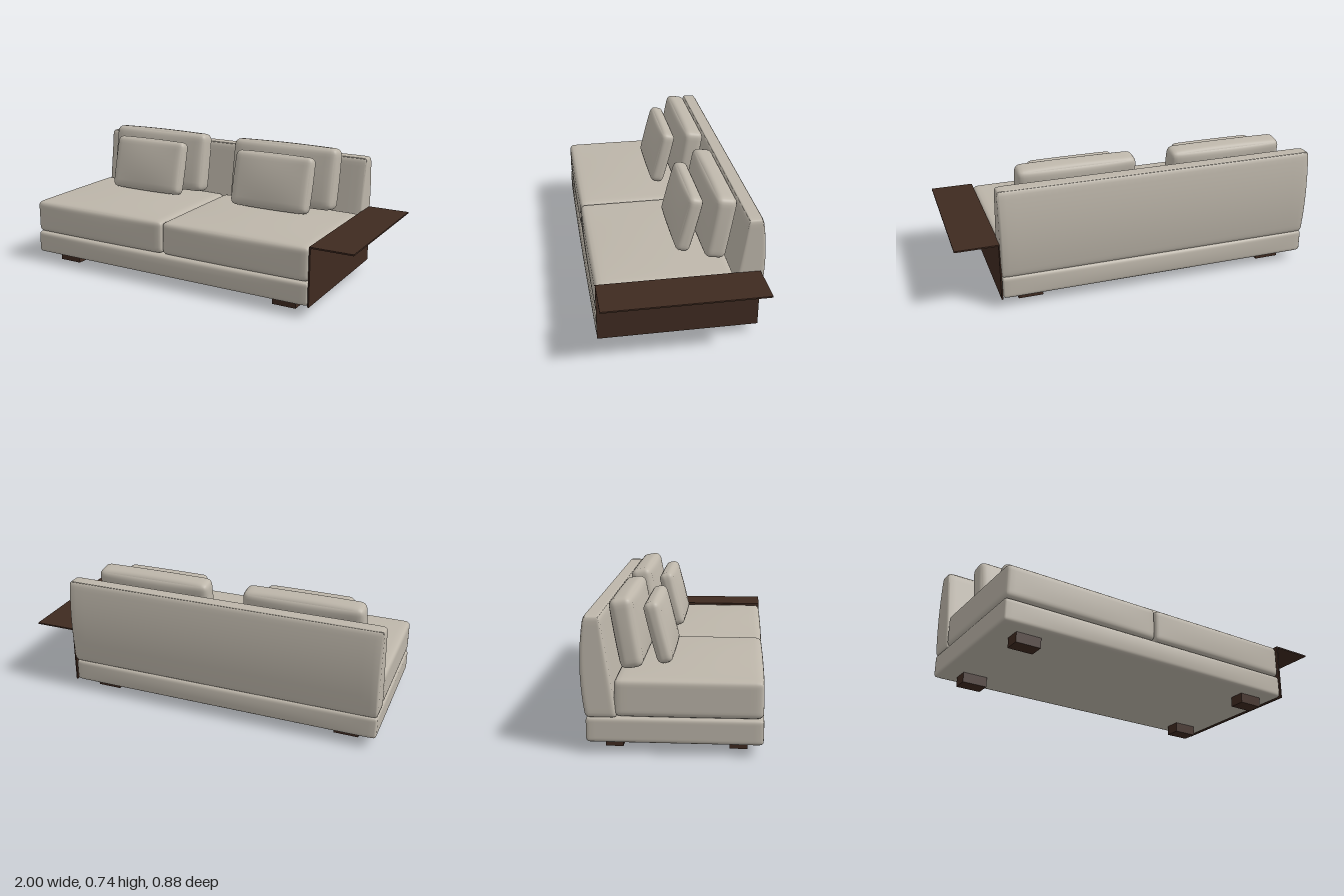
import * as THREE from 'three';
import { mergeVertices } from 'three/addons/utils/BufferGeometryUtils.js';

const mat = (name, color) => {
  const m = new THREE.MeshStandardMaterial({ color });
  m.name = name;
  return m;
};

// Soft upholstered block: rounded edges, bulging faces, optional reshaping rule
function softBlock(size, r, bulge, reshape) {
  const n = 20;
  let g = new THREE.BoxGeometry(2, 2, 2, n, n, n);
  g.deleteAttribute('uv');
  g.deleteAttribute('normal');
  g = mergeVertices(g, 1e-4);
  const half = new THREE.Vector3(...size).multiplyScalar(0.5);
  const core = half.clone().subScalar(r);
  const pos = g.attributes.position;
  const u = new THREE.Vector3(), p = new THREE.Vector3(), inner = new THREE.Vector3();
  for (let i = 0; i < pos.count; i++) {
    u.fromBufferAttribute(pos, i);
    // Crowd the grid lines toward the edges
    u.set(...u.toArray().map(c => Math.sin(c * Math.PI / 2)));
    p.copy(u).multiply(half);
    inner.copy(p).clamp(core.clone().negate(), core);
    p.sub(inner).normalize().multiplyScalar(r).add(inner);
    const fx = 1 - u.x * u.x, fy = 1 - u.y * u.y, fz = 1 - u.z * u.z;
    p.x += bulge[0] * u.x * fy * fz;
    p.y += bulge[1] * u.y * fx * fz;
    p.z += bulge[2] * u.z * fx * fy;
    if (reshape) reshape(p, u);
    pos.setXYZ(i, p.x, p.y, p.z);
  }
  g.computeVertexNormals();
  return g;
}

export function createModel() {
  const model = new THREE.Group();
  model.name = 'sofa';
  const fabric = mat('greige fabric', 0xbdb6aa);
  const wood = mat('dark brown wood', 0x3f2a20);

  const add = (name, geometry, material, x, y, z, tilt = 0) => {
    const m = new THREE.Mesh(geometry, material);
    m.name = name;
    m.position.set(x, y, z);
    m.rotation.x = tilt;
    model.add(m);
  };

  // Upholstered base
  add('base', softBlock([1.763, 0.128, 0.85], 0.02, [0, 0, 0.008]), fabric, -0.1185, 0.119, 0.009);

  // Two seat cushions with a gentle crown
  const seat = softBlock([0.88, 0.187, 0.71], 0.028, [0, 0.014, 0.006]);
  for (const [side, x] of [['right', -0.558], ['left', 0.323]])
    add(side + 'SeatCushion', seat, fabric, x, 0.277, 0.077);

  // Backrest: sloping front, softly curved rear
  const back = softBlock([1.767, 0.497, 0.155], 0.022, [0, 0, 0], (p, u) => {
    const front = (u.z + 1) / 2;
    p.z -= 0.075 * front * (u.y + 1) / 2;
    p.z -= 0.022 * (1 - front) * (1 - u.y * u.y);
  });
  add('backrest', back, fabric, -0.1165, 0.4265, -0.3395);

  // Leaning back cushions and smaller throw pillows
  const cushion = softBlock([0.65, 0.35, 0.115], 0.035, [0.004, 0.006, 0.014]);
  const pillow = softBlock([0.48, 0.315, 0.08], 0.03, [0.004, 0.004, 0.016]);
  for (const [side, cx, px] of [['right', -0.543, -0.535], ['left', 0.31, 0.302]]) {
    add(side + 'BackCushion', cushion, fabric, cx, 0.557, -0.234, -0.17);
    add(side + 'ThrowPillow', pillow, fabric, px, 0.54, -0.087, -0.25);
  }

  // Thin side panel folding out into a shelf
  add('sidePanel', new THREE.BoxGeometry(0.008, 0.322, 0.846), wood, 0.768, 0.216, 0.01);
  add('sideShelf', new THREE.BoxGeometry(0.236, 0.008, 0.846), wood, 0.882, 0.374, 0.01);

  // Four block feet
  const foot = new THREE.BoxGeometry(0.136, 0.06, 0.087);
  for (const [side, x] of [['Right', -0.826], ['Left', 0.598]])
    for (const [end, z] of [['front', 0.314], ['back', -0.292]])
      add(end + side + 'Foot', foot, wood, x, 0.03, z);

  return model;
}
